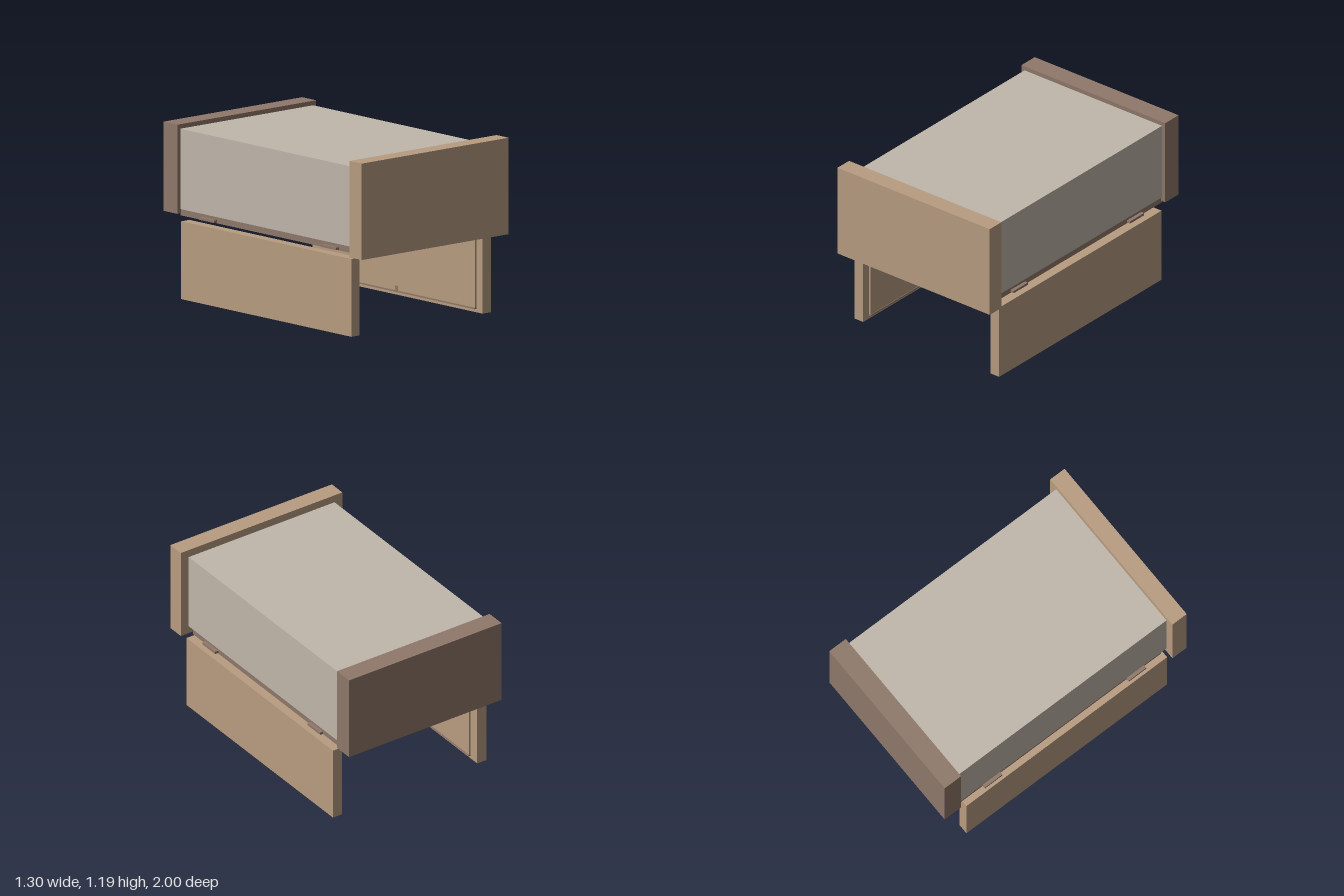
import * as THREE from 'three';

export function createModel() {
  const model = new THREE.Group();
  model.name = 'bed';

  const paint = (name, color) => {
    const m = new THREE.MeshStandardMaterial({ color });
    m.name = name;
    return m;
  };
  const wood = paint('light wood', 0xb89c80);
  const brown = paint('brown wood', 0x8f786a);
  const fabric = paint('mattress fabric', 0xc0b7aa);

  // Box given by its lower and upper limits on each axis
  const box = (name, material, [x0, x1], [y0, y1], [z0, z1]) => {
    const mesh = new THREE.Mesh(new THREE.BoxGeometry(x1 - x0, y1 - y0, z1 - z0), material);
    mesh.position.set((x0 + x1) / 2, (y0 + y1) / 2, (z0 + z1) / 2);
    mesh.name = name;
    model.add(mesh);
  };
  // The same box on both sides of the model
  const pair = (name, material, [x0, x1], y, z) => {
    box(name + 'Left', material, [x0, x1], y, z);
    box(name + 'Right', material, [-x1, -x0], y, z);
  };

  // End boards and mattress
  box('frontBoard', wood, [-0.648, 0.648], [0.54, 1.187], [0.88, 1]);
  box('backBoard', brown, [-0.612, 0.612], [0.565, 1.163], [-1, -0.862]);
  box('mattress', fabric, [-0.585, 0.585], [0.594, 1.133], [-0.862, 0.88]);

  // Base under the mattress: panel, frame and cross slats
  box('basePanel', brown, [-0.53, 0.53], [0.585, 0.594], [-0.83, 0.81]);
  pair('baseRail', brown, [0.53, 0.578], [0.55, 0.594], [-0.87, 0.84]);
  for (const [name, z] of [['frontBaseRail', 0.81], ['backBaseRail', -0.87]])
    box(name, brown, [-0.53, 0.53], [0.55, 0.594], [z, z + 0.03]);
  for (const z of [0.41, -0.01, -0.44])
    box('slat', wood, [-0.53, 0.53], [0.568, 0.585], [z - 0.02, z + 0.02]);

  // Side clips
  for (const z of [0.55, -0.655])
    pair('clip', brown, [0.578, 0.603], [0.555, 0.572], [z, z + 0.147]);

  // Side supports with inner panel, bottom track and small catch
  pair('sideSupport', wood, [0.542, 0.615], [0, 0.522], [-0.82, 0.862]);
  pair('innerPanel', wood, [0.53, 0.542], [0.032, 0.492], [-0.745, 0.8]);
  pair('bottomTrack', brown, [0.526, 0.542], [0.022, 0.032], [-0.745, 0.8]);
  pair('catch', brown, [0.524, 0.53], [0.032, 0.065], [0.015, 0.035]);

  return model;
}
